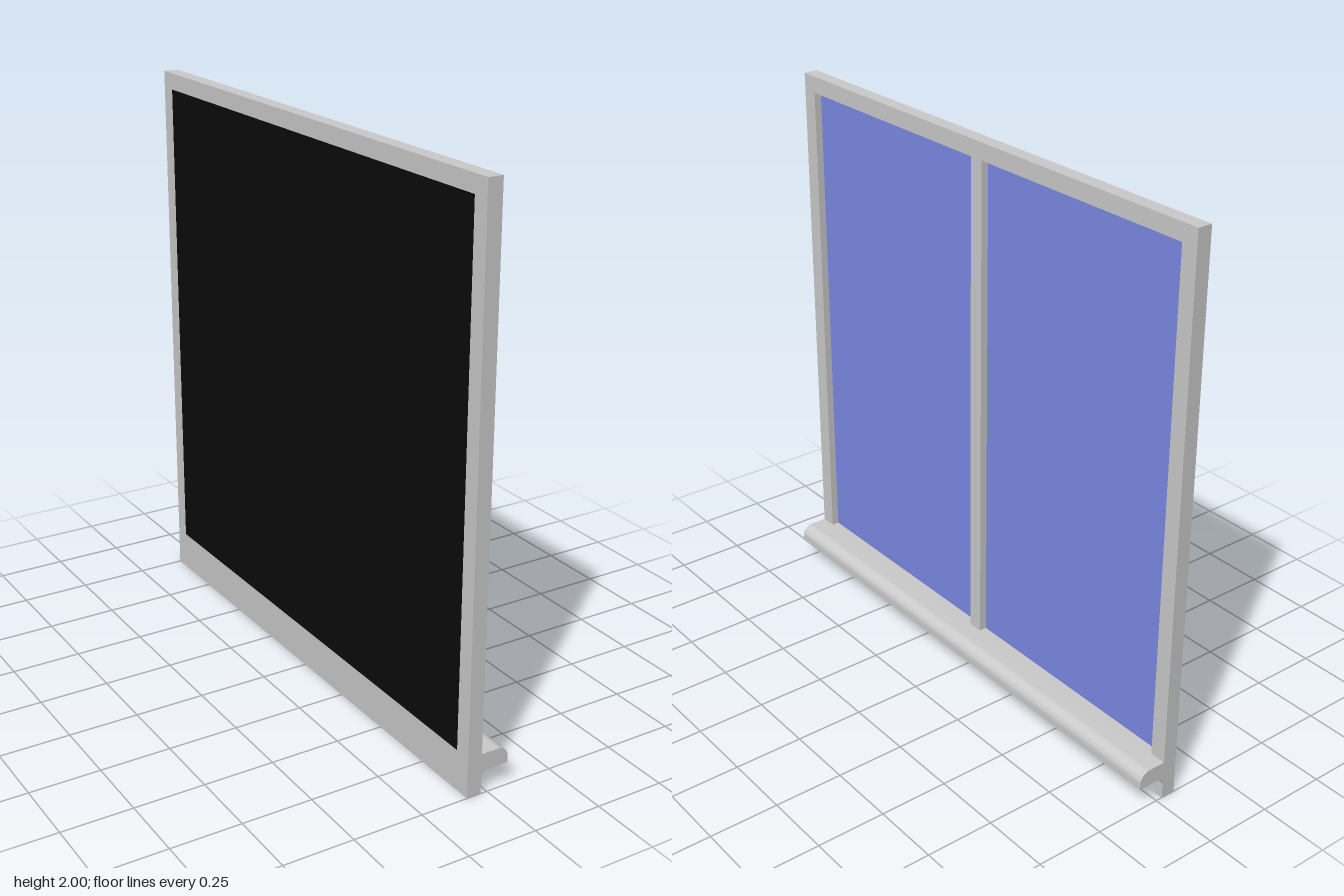
import * as THREE from 'three';
import { toCreasedNormals } from 'three/addons/utils/BufferGeometryUtils.js';

const grey = new THREE.MeshStandardMaterial({ color: 0xcccccc });
const blue = new THREE.MeshStandardMaterial({ color: 0x7c8ae6 });
const black = new THREE.MeshStandardMaterial({ color: 0x0a0a0a });

// depth of the window along x, and the opening in y and z
const BACK = -0.078, GLASS = -0.052, FRONT = -0.025;
const BOTTOM = 0.145, TOP = 1.94, HALF = 0.94;

export function createModel() {
  const group = new THREE.Group();

  const add = (name, geometry, material) => {
    const mesh = new THREE.Mesh(geometry, material);
    mesh.name = name;
    group.add(mesh);
    return mesh;
  };

  // box given by its limits
  const addBox = (name, material, x0, x1, y0, y1, z0, z1) =>
    add(name, new THREE.BoxGeometry(x1 - x0, y1 - y0, z1 - z0), material)
      .position.set((x0 + x1) / 2, (y0 + y1) / 2, (z0 + z1) / 2);

  // outer frame with one large opening
  const outline = new THREE.Shape([[-1, 0], [1, 0], [1, 2], [-1, 2]].map(p => new THREE.Vector2(...p)));
  outline.holes.push(new THREE.Path(
    [[-HALF, BOTTOM], [-HALF, TOP], [HALF, TOP], [HALF, BOTTOM]].map(p => new THREE.Vector2(...p))));
  const frame = new THREE.ExtrudeGeometry(outline, { depth: FRONT - BACK, bevelEnabled: false });
  frame.rotateY(Math.PI / 2).translate(BACK, 0, 0);
  add('frame', frame, grey);

  // dark backing, flush with the back of the frame
  addBox('backing', black, BACK, -0.066, BOTTOM, TOP, -HALF, HALF);

  // two panes, one on each side of the mullion
  for (const side of [-1, 1]) {
    const a = side * 0.028, b = side * HALF;
    addBox(side > 0 ? 'leftPane' : 'rightPane', blue,
      -0.066, GLASS, BOTTOM, TOP, Math.min(a, b), Math.max(a, b));
  }
  addBox('mullion', grey, -0.066, FRONT, BOTTOM, TOP, -0.028, 0.028);

  // sill with a rounded nose and a cove underneath
  const profile = new THREE.Shape();
  profile.moveTo(FRONT, BOTTOM);
  profile.lineTo(FRONT, 0.055);
  profile.absarc(0.003, 0.055, 0.028, Math.PI, Math.PI / 2, true);
  profile.lineTo(0.078, 0.083);
  profile.lineTo(0.078, 0.105);
  profile.absarc(0.038, 0.105, 0.04, 0, Math.PI / 2, false);
  profile.closePath();
  const sill = new THREE.ExtrudeGeometry(profile, { depth: 2, bevelEnabled: false, curveSegments: 10 });
  sill.translate(0, 0, -1);
  add('sill', toCreasedNormals(sill, 0.6), grey);

  return group;
}
